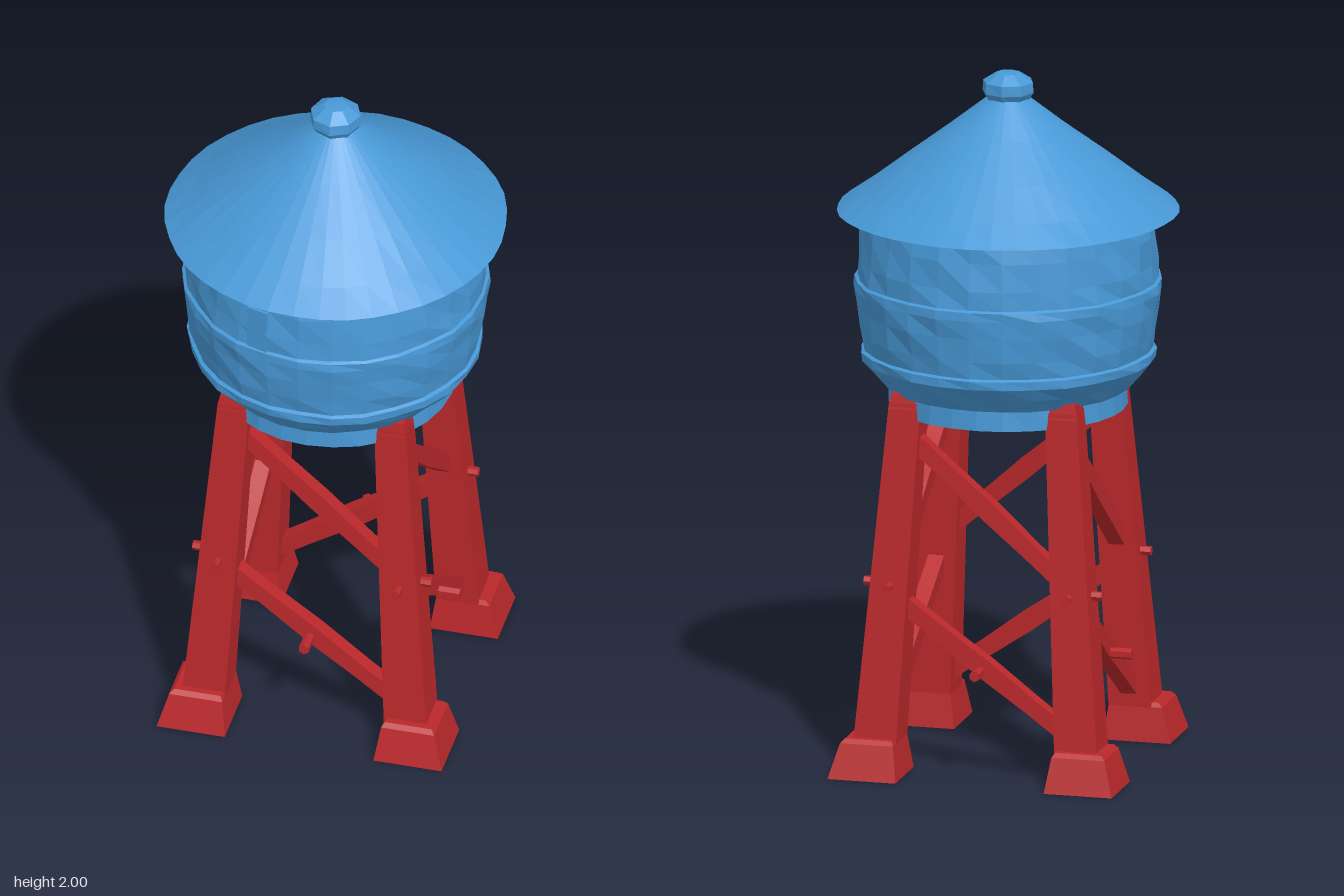
import * as THREE from 'three';

const blue = new THREE.MeshStandardMaterial({ color: 0x4899d7, flatShading: true });
blue.name = 'blue paint';
const red = new THREE.MeshStandardMaterial({ color: 0xba282b, flatShading: true });
red.name = 'red paint';

function add(parent, name, geometry, material) {
  const mesh = new THREE.Mesh(geometry, material);
  mesh.name = name;
  parent.add(mesh);
  return mesh;
}

// Lathe with a gentle hand-hewn wobble that joins cleanly at the seam
function hewnLathe(points, segments, wobble) {
  const g = new THREE.LatheGeometry(points.map(([r, y]) => new THREE.Vector2(r, y)), segments);
  const p = g.attributes.position;
  for (let i = 0; i < p.count; i++) {
    const x = p.getX(i), y = p.getY(i), z = p.getZ(i);
    const a = Math.atan2(z, x);
    const k = 1 + wobble * (Math.sin(a * 7 + y * 31) + Math.sin(a * 11 - y * 47)) / 2;
    p.setXYZ(i, x * k, y, z * k);
  }
  g.computeVertexNormals();
  return g;
}

// Square bar from a to b, tapering from half-width h0 to h1, sheared so its ends stay level
function post(a, b, h0, h1) {
  const g = new THREE.BoxGeometry(2, 1, 2, 1, 4, 1);
  const p = g.attributes.position;
  for (let i = 0; i < p.count; i++) {
    const t = p.getY(i) + 0.5;
    const h = h0 + (h1 - h0) * t;
    p.setXYZ(i, a[0] + (b[0] - a[0]) * t + p.getX(i) * h,
      a[1] + (b[1] - a[1]) * t, a[2] + (b[2] - a[2]) * t + p.getZ(i) * h);
  }
  g.computeVertexNormals();
  return g;
}

// Rectangular beam between two points, slightly swollen in the middle
function beam(parent, name, a, b, width, depth) {
  const from = new THREE.Vector3(...a), to = new THREE.Vector3(...b);
  const g = new THREE.BoxGeometry(width, from.distanceTo(to), depth, 1, 4, 1);
  const p = g.attributes.position;
  for (let i = 0; i < p.count; i++) {
    const k = 1 + 0.12 * Math.cos(p.getY(i) * 12);
    p.setX(i, p.getX(i) * k);
  }
  g.computeVertexNormals();
  const mesh = add(parent, name, g, red);
  mesh.position.copy(from).add(to).multiplyScalar(0.5);
  mesh.quaternion.setFromUnitVectors(new THREE.Vector3(0, 1, 0), to.sub(from).normalize());
}

// Centre distance of the leaning legs from the axis at height y
const legAt = y => 0.302 - 0.067 * y;

export function createModel() {
  const model = new THREE.Group();
  model.name = 'waterTower';

  // Tank: drum base, flared bottom, two stepped bands, slightly tapered top
  const tank = new THREE.Group();
  tank.name = 'tank';
  model.add(tank);
  add(tank, 'tankBase', hewnLathe([[0, 1.03], [0.34, 1.03], [0.338, 1.1]], 28, 0.004), blue);
  add(tank, 'tankBody', hewnLathe([
    [0.3, 1.09], [0.35, 1.09], [0.385, 1.13], [0.418, 1.17], [0.42, 1.195], [0.41, 1.2],
    [0.42, 1.25], [0.43, 1.32], [0.438, 1.375], [0.437, 1.4], [0.428, 1.405],
    [0.426, 1.46], [0.42, 1.54], [0.412, 1.61], [0.4, 1.66],
  ], 28, 0.012), blue);

  // Small raised slat on the tank front
  const slat = add(tank, 'frontSlat', new THREE.BoxGeometry(0.065, 0.14, 0.009), blue);
  slat.position.set(-0.125, 1.47, 0.405);
  slat.rotation.y = -0.3;

  // Conical roof with a thin overhanging eave
  add(model, 'roof', hewnLathe([
    [0.38, 1.63], [0.487, 1.6], [0.41, 1.655], [0.3, 1.74], [0.17, 1.838], [0.06, 1.925], [0, 1.93],
  ], 40, 0.005), blue);

  // Faceted knob on the peak
  add(model, 'roofKnob', hewnLathe([
    [0, 1.91], [0.058, 1.915], [0.075, 1.942], [0.073, 1.972], [0.035, 1.997], [0, 2],
  ], 8, 0.03), blue);

  // Four leaning legs on flared feet
  for (const sx of [-1, 1]) {
    for (const sz of [-1, 1]) {
      const leg = new THREE.Group();
      leg.name = (sz > 0 ? 'front' : 'back') + (sx > 0 ? 'Left' : 'Right') + 'Leg';
      model.add(leg);
      const at = y => [sx * legAt(y), y, sz * legAt(y)];
      add(leg, 'post', post(at(0.08), at(1.08), 0.063, 0.046), red);
      add(leg, 'postCap', post(at(1.06), at(1.105), 0.047, 0.042), red);
      add(leg, 'foot', post([sx * 0.318, 0, sz * 0.318], [sx * 0.311, 0.1, sz * 0.311], 0.1, 0.078), red);
      add(leg, 'footTop', post([sx * 0.311, 0.1, sz * 0.311], [sx * 0.309, 0.112, sz * 0.309], 0.078, 0.068), red);

      // Bolts on the two outer faces
      const h = legAt(0.55);
      const boltX = add(leg, 'sideBolt', new THREE.CylinderGeometry(0.014, 0.014, 0.05, 6), red);
      boltX.position.set(sx * (h + 0.06), 0.55, sz * h);
      boltX.rotation.z = Math.PI / 2;
      const boltZ = add(leg, 'faceBolt', new THREE.CylinderGeometry(0.014, 0.014, 0.05, 6), red);
      boltZ.position.set(sx * h, 0.55, sz * (h + 0.06));
      boltZ.rotation.x = Math.PI / 2;
    }
  }

  // One diagonal brace per tier on each side, all falling the same way around the tower
  for (let side = 0; side < 4; side++) {
    const bracing = new THREE.Group();
    bracing.name = 'bracing' + (side + 1);
    bracing.rotation.y = side * Math.PI / 2;
    model.add(bracing);
    for (const [low, high] of [[0.12, 0.52], [0.56, 0.99]]) {
      beam(bracing, 'brace', [legAt(low), low, legAt(low)],
        [-legAt(high), high, legAt(high)], 0.05, 0.046);
    }
    const bolt = add(bracing, 'braceBolt', new THREE.CylinderGeometry(0.016, 0.016, 0.08, 6), red);
    bolt.position.set(0, 0.315, 0.325);
    bolt.rotation.x = Math.PI / 2;
  }
  return model;
}
